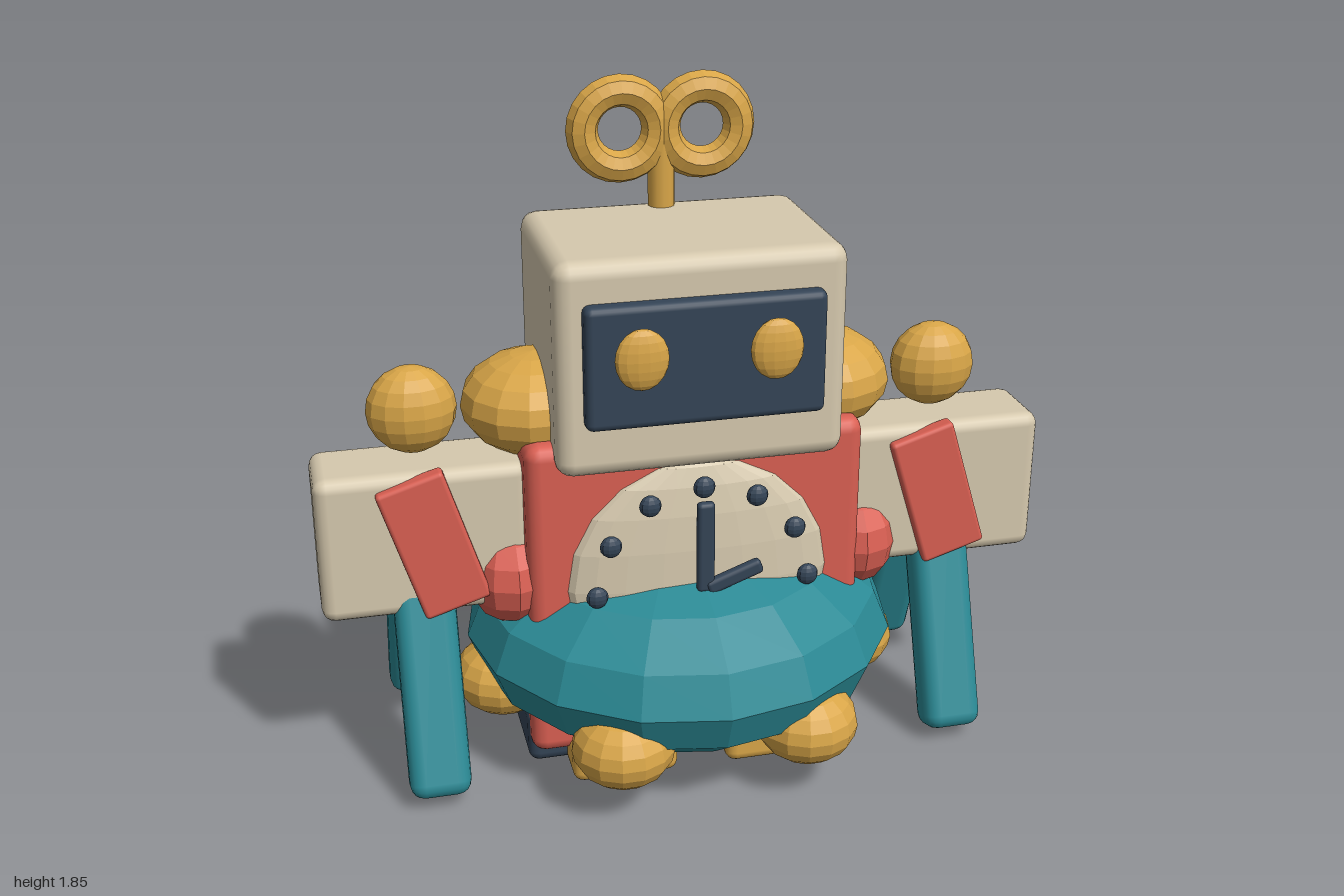
import * as THREE from 'three';
import { RoundedBoxGeometry } from 'three/addons/geometries/RoundedBoxGeometry.js';

function paint(name, color) {
  const m = new THREE.MeshStandardMaterial({ color });
  m.name = name;
  return m;
}

export function createModel() {
  const root = new THREE.Group();
  root.name = 'windUpRobot';
  const cream = paint('cream', 0xd6c9ae);
  const red = paint('red', 0xd95f52);
  const teal = paint('teal', 0x2b8a95);
  const gold = paint('gold', 0xd9a648);
  const navy = paint('navy', 0x344456);

  function add(name, geometry, material, pos) {
    const mesh = new THREE.Mesh(geometry, material);
    mesh.name = name;
    mesh.position.set(...pos);
    root.add(mesh);
    return mesh;
  }
  // Faceted normals for the low-poly parts
  function faceted(geometry) {
    const g = geometry.toNonIndexed();
    g.computeVertexNormals();
    return g;
  }
  function box(name, material, size, pos, radius = 0.03) {
    return add(name, new RoundedBoxGeometry(...size, 2, radius), material, pos);
  }
  function ball(name, material, radii, pos, w = 14, h = 10) {
    const g = new THREE.SphereGeometry(1, w, h);
    g.scale(...radii);
    return add(name, faceted(g), material, pos);
  }

  // Head and face
  box('head', cream, [0.77, 0.58, 0.54], [0, 1.205, 0.025], 0.045);
  box('facePlate', navy, [0.63, 0.33, 0.08], [0, 1.225, 0.295], 0.02);

  // Wind-up key
  add('keyStem', new THREE.CylinderGeometry(0.037, 0.037, 0.24, 12), gold, [0, 1.57, -0.185]);

  // Torso and skirt
  box('torso', red, [0.92, 0.56, 0.48], [0, 0.71, 0.002], 0.04);
  ball('skirt', teal, [0.605, 0.29, 0.605], [0, 0.34, 0], 16, 8);

  // Clock on the belly
  ball('clockFace', cream, [0.36, 0.35, 0.06], [0, 0.572, 0.24], 20, 10);
  for (let i = -3; i <= 3; i++) {
    const a = (i * Math.PI) / 6;
    ball('hourDot', navy, [0.03, 0.03, 0.02], [0.29 * Math.sin(a), 0.575 + 0.29 * Math.cos(a), 0.3], 10, 8);
  }
  box('minuteHand', navy, [0.048, 0.26, 0.03], [0, 0.7, 0.318], 0.012);
  box('hourHand', navy, [0.16, 0.042, 0.03], [0.078, 0.606, 0.322], 0.012).rotation.z = 0.35;

  // Bumper balls around the skirt
  for (let i = 0; i < 6; i++) {
    const a = (i * Math.PI) / 3;
    ball('bumper', gold, [0.14, 0.11, 0.14], [0.508 * Math.cos(a), 0.205, 0.508 * Math.sin(a)]);
  }

  for (const s of [1, -1]) {
    ball('eye', gold, [0.07, 0.082, 0.026], [s * 0.175, 1.255, 0.352], 14, 10);
    add('keyRing', faceted(new THREE.TorusGeometry(0.103, 0.044, 8, 24)), gold, [s * 0.113, 1.71, -0.185]);

    // Shoulders and arms
    ball('shoulder', gold, [0.2, 0.14, 0.2], [s * 0.395, 1.035, 0.005]);
    ball('elbow', red, [0.135, 0.155, 0.18], [s * 0.485, 0.58, 0.06], 12, 8);
    box('arm', cream, [0.56, 0.41, 0.235], [s * 0.72, 0.72, 0.06], 0.035);
    ball('armKnob', gold, [0.12, 0.12, 0.09], [s * 0.725, 1.05, 0.03]);
    // Both panels lean the same way
    box('armPanel', red, [0.185, 0.39, 0.05], [s * 0.7, 0.723, 0.178], 0.012).rotation.z = 0.3;

    // Crossed side struts
    for (const d of [1, -1]) {
      box('strut', teal, [0.165, 0.84, 0.12], [s * 0.73, 0.43, d * 0.165], 0.04).rotation.x = -d * 0.35;
    }

    // Legs and feet
    box('leg', red, [0.19, 0.34, 0.48], [s * 0.37, 0.24, 0], 0.04);
    box('ankle', navy, [0.33, 0.16, 0.4], [s * 0.305, 0.1, 0], 0.03);
    box('foot', gold, [0.295, 0.11, 0.46], [s * 0.217, 0.06, 0.08], 0.03);
  }
  return root;
}
